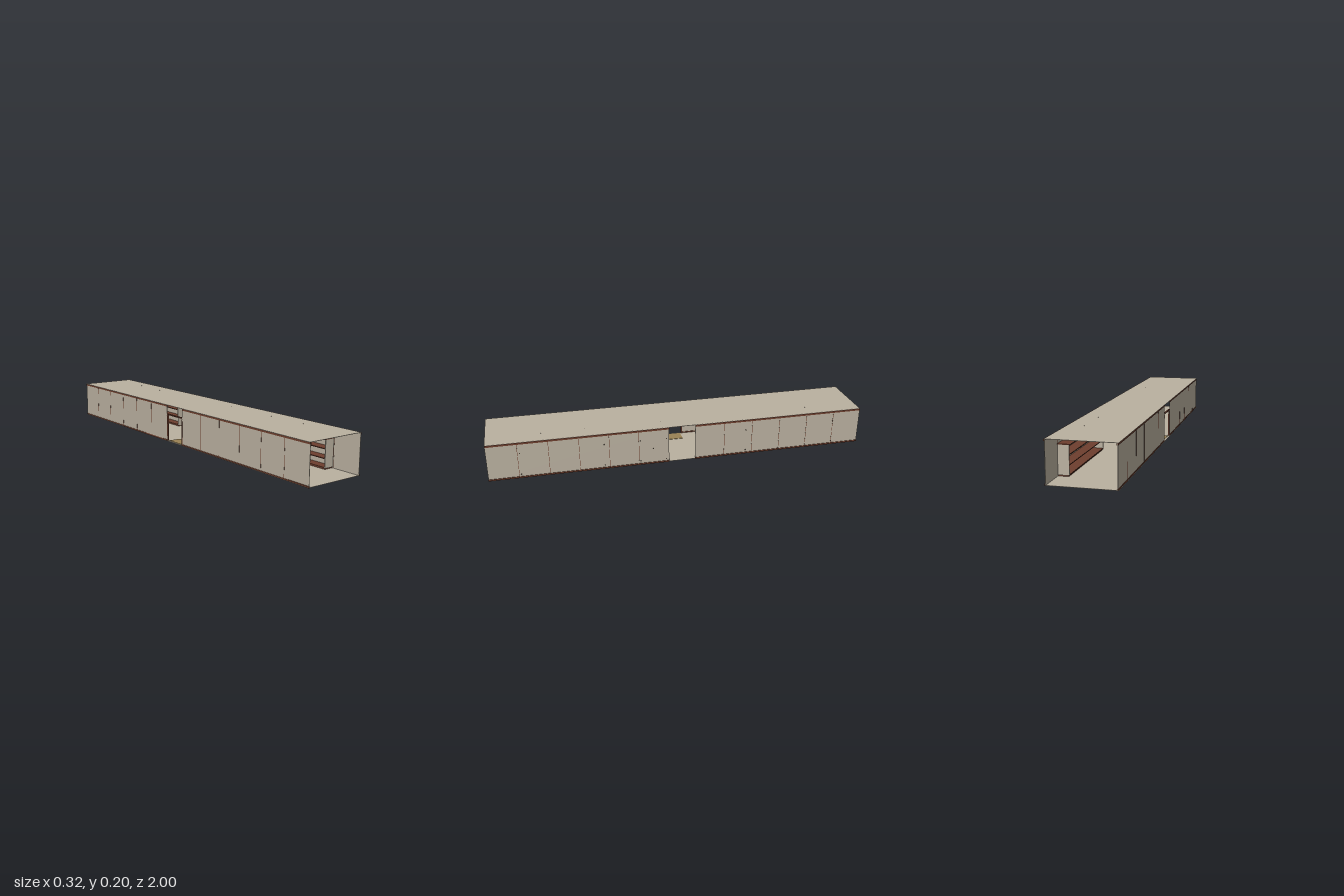
import * as THREE from 'three';

export function createModel() {
  const root = new THREE.Group();
  root.name = 'corridorGalley';

  const mat = (name, color) => {
    const m = new THREE.MeshStandardMaterial({ color });
    m.name = name;
    return m;
  };
  const beige = mat('beigePanel', 0xbab1a0);
  const brown = mat('brownTrim', 0x6e3f2e);
  const tan = mat('tanMat', 0x9a8355);
  const grey = mat('greyMetal', 0x8d8d8a);
  const dark = mat('darkBolt', 0x4a4038);

  // Box given by its minimum and maximum on each axis
  const box = (name, m, x0, x1, y0, y1, z0, z1, parent = root) => {
    const mesh = new THREE.Mesh(new THREE.BoxGeometry(x1 - x0, y1 - y0, z1 - z0), m);
    mesh.position.set((x0 + x1) / 2, (y0 + y1) / 2, (z0 + z1) / 2);
    mesh.name = name;
    parent.add(mesh);
    return mesh;
  };

  // Floor and ceiling run the full length
  box('floor', beige, -0.16, 0.158, 0.001, 0.002, -1, 1);
  box('ceiling', beige, -0.16, 0.158, 0.1985, 0.2, -1, 1);

  // Long walls, open in the middle, with edge trims and panel battens
  const door = 0.07;
  for (const [side, wx0, wx1, tx0, tx1] of [
    ['left', 0.1555, 0.157, 0.156, 0.1605],
    ['right', -0.1565, -0.155, -0.1585, -0.152],
  ]) {
    for (const end of [1, -1]) {
      const z0 = end > 0 ? door : -1;
      const z1 = end > 0 ? 1 : -door;
      const wall = new THREE.Group();
      wall.name = side + (end > 0 ? 'Front' : 'Back') + 'Wall';
      root.add(wall);
      box('wallPanel', beige, wx0, wx1, 0.002, 0.1985, z0, z1, wall);
      box('bottomTrim', brown, tx0, tx1, 0, 0.008, z0, z1, wall);
      box('topTrim', brown, tx0, tx1, 0.19, 0.1995, z0, z1, wall);
      for (let i = 1; i <= 5; i++) {
        const z = end * (1 - i * 0.154);
        box('batten', brown, wx0 - 0.0005, wx1 + 0.0005, 0.006, 0.192, z - 0.001, z + 0.001, wall);
      }
    }
  }

  // Door frame and mat in the right wall opening
  for (const s of [-1, 1]) {
    box('doorJamb', brown, -0.157, -0.15, 0, 0.142, s * 0.068 - 0.003, s * 0.068 + 0.003);
  }
  box('doorLintel', brown, -0.157, -0.149, 0.145, 0.151, -0.071, 0.071);
  box('doorMat', tan, -0.15, -0.085, 0.002, 0.004, -0.06, 0.06);

  // Bolt through the left wall
  const boltGeo = new THREE.CylinderGeometry(0.003, 0.003, 0.005, 8).rotateZ(Math.PI / 2);
  const bolt = (y, z, parent) => {
    const mesh = new THREE.Mesh(boltGeo, dark);
    mesh.name = 'bolt';
    mesh.position.set(0.157, y, z);
    parent.add(mesh);
  };

  // Counters along the left wall: two open shelf units and one closed cabinet
  const counter = (name, z0, z1, closed) => {
    const g = new THREE.Group();
    g.name = name;
    root.add(g);
    box('plinth', brown, 0.106, 0.154, 0, 0.008, z0 + 0.005, z1 - 0.005, g);
    box('worktop', brown, 0.095, 0.1545, 0.1445, 0.148, z0 - 0.003, z1 + 0.003, g);
    if (closed) {
      box('cabinetBody', beige, 0.101, 0.154, 0.008, 0.1445, z0, z1, g);
      box('handle', grey, 0.094, 0.101, 0.045, 0.049, (z0 + z1) / 2 - 0.01, (z0 + z1) / 2 + 0.01, g);
      bolt(0.088, (z0 + z1) / 2, g);
    } else {
      for (const z of [z0, z1 - 0.004]) box('endPanel', beige, 0.101, 0.154, 0.008, 0.1445, z, z + 0.004, g);
      for (const y of [0.008, 0.052, 0.098]) box('shelf', brown, 0.102, 0.154, y, y + 0.004, z0 + 0.004, z1 - 0.004, g);
    }
    for (const z of [z0 + 0.01, z1 - 0.01]) for (const y of [0.02, 0.139]) bolt(y, z, g);
  };
  counter('frontCounter', 0.4, 0.845, false);
  counter('middleCabinet', 0.075, 0.232, true);
  counter('backCounter', -0.855, -0.34, false);

  // Pendant lamps: rounded disc on a thin rod
  const profile = [[0, 0.171], [0.0155, 0.171], [0.0175, 0.173], [0.0175, 0.176], [0.0155, 0.178], [0, 0.178]];
  const discGeo = new THREE.LatheGeometry(profile.map(([r, y]) => new THREE.Vector2(r, y)), 20);
  const rodGeo = new THREE.CylinderGeometry(0.0012, 0.0012, 0.024, 8);
  for (const z of [0.72, 0.5, 0.19, 0.1, -0.5, -0.71]) {
    const lamp = new THREE.Group();
    lamp.name = 'pendantLamp';
    lamp.position.set(0.078, 0, z);
    const disc = new THREE.Mesh(discGeo, beige);
    disc.name = 'lampShade';
    const rod = new THREE.Mesh(rodGeo, dark);
    rod.name = 'lampRod';
    rod.position.y = 0.19;
    lamp.add(disc, rod);
    root.add(lamp);
  }

  return root;
}
